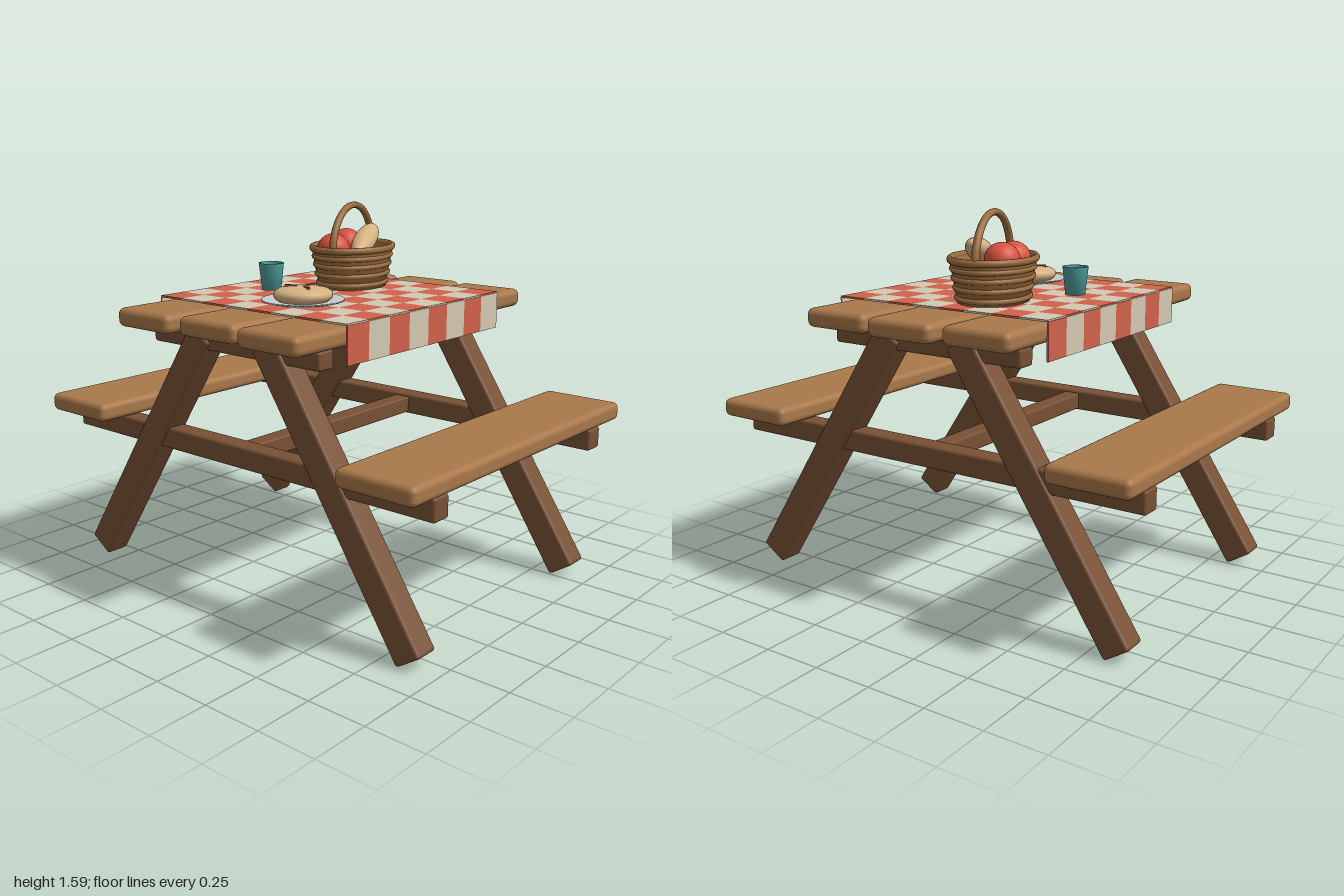
import * as THREE from 'three';
import { mergeGeometries } from 'three/addons/utils/BufferGeometryUtils.js';
import { RoundedBoxGeometry } from 'three/addons/geometries/RoundedBoxGeometry.js';

const material = (name, color, extra = {}) => {
  const m = new THREE.MeshStandardMaterial({ color, ...extra });
  m.name = name;
  return m;
};

export function createModel() {
  const model = new THREE.Group();
  model.name = 'picnicTable';
  const double = { side: THREE.DoubleSide };
  const plankWood = material('plank wood', 0xa9784a);
  const frameWood = material('frame wood', 0x785034);
  const clothRed = material('cloth red', 0xd0624c);
  const clothCream = material('cloth cream', 0xd3c9b2);
  const cupTeal = material('cup teal', 0x4f9c9c, double);
  const plateGrey = material('plate grey', 0xc9ccd0);
  const crust = material('golden crust', 0xd6b283);
  const wicker = material('wicker', 0x9c6d3e, double);
  const fruitRed = material('fruit red', 0xdb5141);
  const ventBrown = material('vent brown', 0xb0523a);

  const add = (parent, name, geometry, mat, x = 0, y = 0, z = 0) => {
    const mesh = new THREE.Mesh(geometry, mat);
    mesh.name = name;
    mesh.position.set(x, y, z);
    parent.add(mesh);
    return mesh;
  };
  const group = (name, x, y, z) => {
    const g = new THREE.Group();
    g.name = name;
    g.position.set(x, y, z);
    model.add(g);
    return g;
  };
  const board = (w, h, d, r) => new RoundedBoxGeometry(w, h, d, 3, r);
  const lathe = (pts, n = 40) => new THREE.LatheGeometry(pts.map(p => new THREE.Vector2(...p)), n);

  // Table planks, slightly staggered, and the two benches
  [[-0.015, -0.342], [0.01, -0.002], [-0.013, 0.338]].forEach(([x, z]) =>
    add(model, 'tablePlank', board(1.505, 0.078, 0.305, 0.027), plankWood, x, 1.177, z));
  for (const s of [-1, 1])
    add(model, 'benchSeat', board(1.5, 0.077, 0.354, 0.025), plankWood, 0, 0.733, s * 0.823);

  // End frames: top rail, seat rail and a pair of splayed legs each
  for (const sx of [-1, 1]) {
    const x = sx * 0.56;
    add(model, 'topRail', board(0.085, 0.075, 0.915, 0.012), frameWood, x, 1.096, 0);
    add(model, 'seatRail', board(0.09, 0.093, 1.97, 0.012), frameWood, x, 0.646, 0);
    for (const sz of [-1, 1]) {
      const leg = add(model, 'leg', board(0.11, 1.3, 0.127, 0.013), frameWood, x, 0.583, sz * 0.529);
      leg.rotation.x = -sz * 0.581;
    }
  }
  add(model, 'stretcher', board(1.06, 0.075, 0.08, 0.01), frameWood, 0, 0.643, 0);

  // Checked cloth: eight by eight squares, with one hanging row at front and back
  const squares = [[], []];
  const cw = 0.127, cd = 0.128, thick = 0.008;
  for (let row = -1; row <= 8; row++) {
    for (let col = 0; col < 8; col++) {
      const x = -0.003 + (col - 3.5) * cw;
      const hanging = row < 0 || row > 7;
      const g = hanging ? new THREE.BoxGeometry(cw, 0.152, thick) : new THREE.BoxGeometry(cw, thick, cd);
      if (hanging) g.translate(x, 1.151, row < 0 ? -0.511 : 0.511);
      else g.translate(x, 1.229, (row - 3.5) * cd);
      squares[(row + col + 2) % 2].push(g);
    }
  }
  add(model, 'clothRedSquares', mergeGeometries(squares[0]), clothRed);
  add(model, 'clothCreamSquares', mergeGeometries(squares[1]), clothCream);

  // Plate with a domed pie and three slits
  const pie = group('pieOnPlate', -0.283, 1.233, 0.092);
  add(pie, 'plate', lathe([[0, 0], [0.105, 0], [0.168, 0.016], [0.168, 0.022], [0.115, 0.012], [0, 0.01]]), plateGrey);
  add(pie, 'pie', lathe([[0, 0.01], [0.1, 0.012], [0.117, 0.025], [0.122, 0.04], [0.117, 0.053],
    [0.1, 0.063], [0.06, 0.071], [0, 0.074]]), crust);
  for (let i = 0; i < 3; i++) {
    const a = i * Math.PI * 2 / 3;
    const slit = add(pie, 'pieSlit', new THREE.BoxGeometry(0.05, 0.009, 0.011), ventBrown,
      Math.cos(a) * 0.05, 0.073, -Math.sin(a) * 0.05);
    slit.rotation.y = a;
  }

  // Cup with a drink
  const cup = group('cup', -0.087, 1.233, -0.27);
  add(cup, 'cupWall', lathe([[0, 0], [0.042, 0], [0.055, 0.117], [0.048, 0.117], [0.038, 0.01]], 28), cupTeal);
  add(cup, 'drink', new THREE.CylinderGeometry(0.047, 0.046, 0.004, 28), wicker, 0, 0.098, 0);

  // Oval wicker basket
  const basket = group('basket', 0.243, 1.233, -0.083);
  basket.rotation.y = 0.28;
  const oval = 0.77;
  const wall = add(basket, 'basketWall', lathe([[0, 0], [0.185, 0], [0.222, 0.17], [0.205, 0.17], [0.175, 0.012], [0, 0.012]], 48), wicker);
  wall.scale.z = oval;
  [[0.02, 0.19, 0.011], [0.06, 0.198, 0.011], [0.1, 0.206, 0.011], [0.137, 0.213, 0.011], [0.174, 0.221, 0.015]]
    .forEach(([y, r, t]) => {
      const ring = add(basket, 'basketBand', new THREE.TorusGeometry(r, t, 10, 48).rotateX(Math.PI / 2), wicker, 0, y, 0);
      ring.scale.z = oval;
    });
  const handle = add(basket, 'handle', new THREE.TorusGeometry(0.215, 0.016, 10, 36, Math.PI), wicker, 0, 0.165, 0);
  handle.scale.y = 0.89;
  const lining = add(basket, 'lining', new THREE.CylinderGeometry(0.205, 0.2, 0.01, 48), clothCream, 0, 0.145, 0);
  lining.scale.z = oval;

  // Fruit and loaf in the basket
  for (const [x, y, z] of [[0.153, 1.4, -0.118], [0.29, 1.41, -0.158]]) {
    const fruit = add(model, 'fruit', new THREE.SphereGeometry(0.072, 28, 20), fruitRed, x, y, z);
    fruit.scale.y = 0.95;
  }
  const loaf = add(model, 'loaf', new THREE.SphereGeometry(1, 32, 20), crust, 0.272, 1.437, -0.035);
  loaf.scale.set(0.175, 0.046, 0.05);
  loaf.rotation.set(0, 0.45, 0.25, 'YXZ');

  return model;
}
